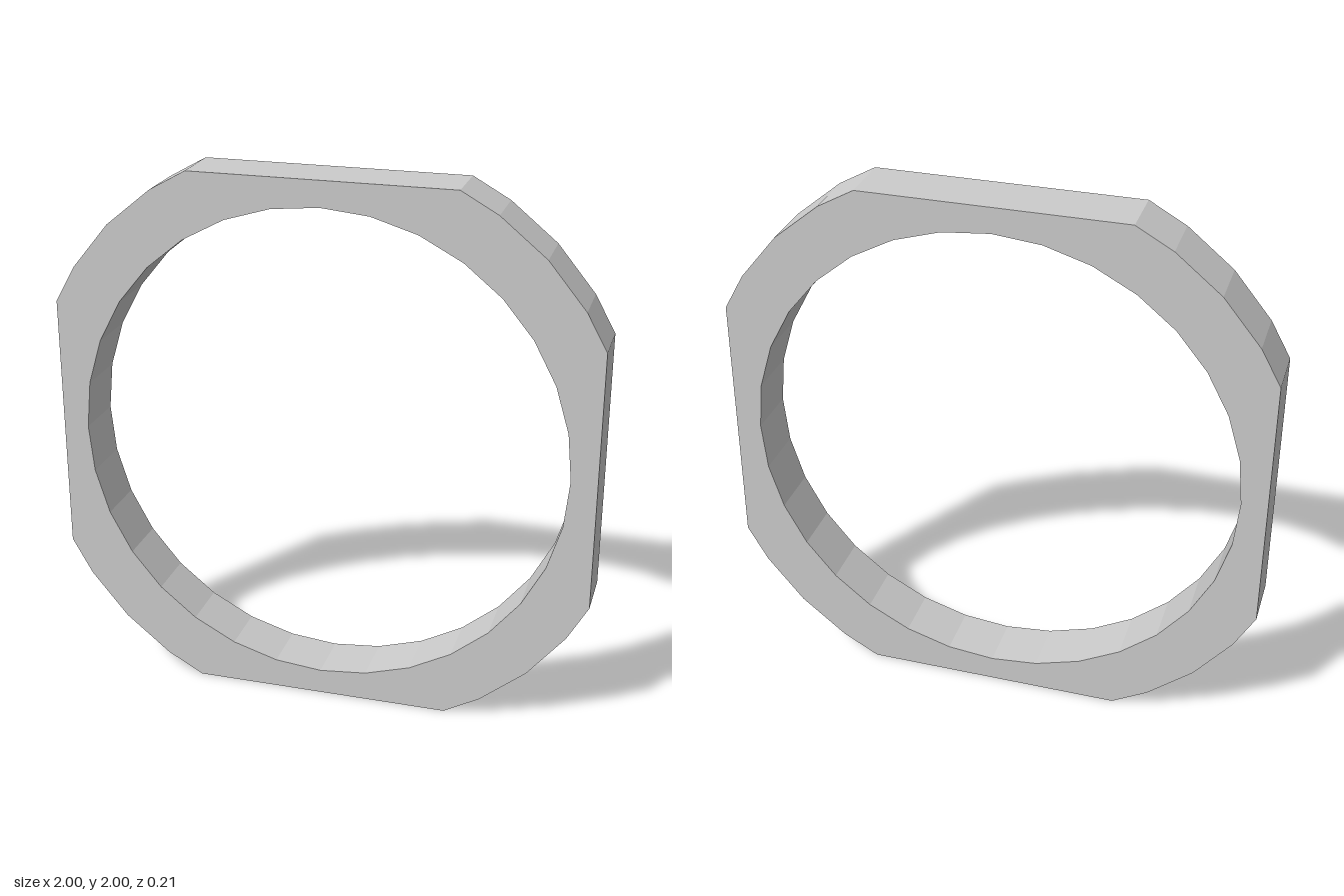
import * as THREE from 'three';

const DEPTH = 0.21;
const OUTER_RADIUS = 1.112;
const INNER_RADIUS = 0.905;
const FLAT_HALF = 0.483; // half length of each straight side
const STEP = Math.PI / 16; // 32-sided circles

const onCircle = (radius, angle) =>
  new THREE.Vector2(radius * Math.cos(angle), radius * Math.sin(angle));

export function createModel() {
  const group = new THREE.Group();
  group.name = 'squaredRing';

  // Outline: a 32-sided circle cut off by a square, one corner per quarter turn
  const corner = [
    new THREE.Vector2(1, FLAT_HALF),
    ...[3, 4, 5].map((i) => onCircle(OUTER_RADIUS, i * STEP)),
    new THREE.Vector2(FLAT_HALF, 1),
  ];
  const outline = [];
  for (let q = 0; q < 4; q++) {
    for (const p of corner) {
      outline.push(p.clone().rotateAround(new THREE.Vector2(), q * Math.PI / 2));
    }
  }

  // Round opening
  const opening = [];
  for (let i = 0; i < 32; i++) opening.push(onCircle(INNER_RADIUS, -i * STEP));

  const shape = new THREE.Shape(outline);
  shape.holes.push(new THREE.Path(opening));
  const geometry = new THREE.ExtrudeGeometry(shape, { depth: DEPTH, bevelEnabled: false });
  geometry.translate(0, 1, -DEPTH / 2);

  const ring = new THREE.Mesh(
    geometry,
    new THREE.MeshStandardMaterial({ color: 0xcccccc, flatShading: true })
  );
  ring.name = 'ring';
  group.add(ring);
  return group;
}
